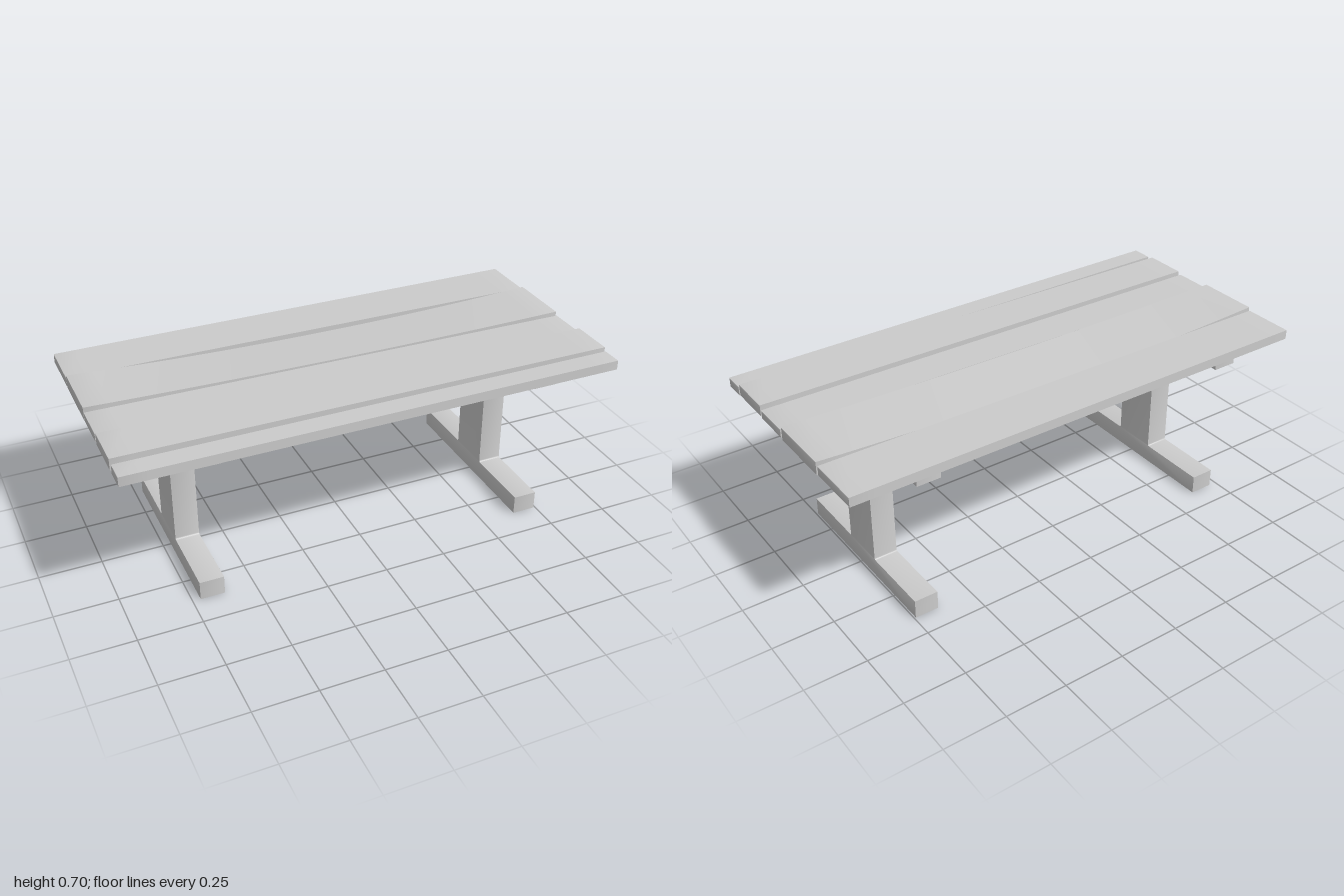
import * as THREE from 'three';
import { toCreasedNormals } from 'three/addons/utils/BufferGeometryUtils.js';

const material = new THREE.MeshStandardMaterial({ color: 0xcccccc });
const { lerp } = THREE.MathUtils;

// Extrudes a (z, y) outline along x, centred on x = 0
function extrudeAlongX(shape, length, bevel, steps = 1) {
  const geometry = new THREE.ExtrudeGeometry(shape, {
    depth: length - 2 * bevel, steps, curveSegments: 4,
    bevelEnabled: true, bevelSize: bevel, bevelThickness: bevel, bevelOffset: -bevel, bevelSegments: 2,
  });
  geometry.translate(0, 0, bevel - length / 2);
  geometry.rotateY(-Math.PI / 2);
  return geometry;
}

// A slightly skewed, bowed board; left and right are [zBack, zFront] at x = -1 and x = +1,
// bottom is [y at x = -1, y at x = +1], sag is the mid-span drop at [back edge, front edge]
function makePlank({ name, left, right, bottom, height, sag = [0, 0] }) {
  const width = left[1] - left[0];
  const shape = new THREE.Shape([
    new THREE.Vector2(0, 0), new THREE.Vector2(width, 0),
    new THREE.Vector2(width, height), new THREE.Vector2(0, height),
  ]);
  const geometry = extrudeAlongX(shape, 2, 0.004, 20);
  const p = geometry.attributes.position;
  for (let i = 0; i < p.count; i++) {
    const x = p.getX(i), t = (x + 1) / 2, u = p.getZ(i) / width;
    const drop = lerp(sag[0], sag[1], u) * (1 - x * x);
    p.setY(i, p.getY(i) + lerp(bottom[0], bottom[1], t) - drop);
    p.setZ(i, lerp(lerp(left[0], left[1], u), lerp(right[0], right[1], u), t));
  }
  const mesh = new THREE.Mesh(toCreasedNormals(geometry, 0.5), material);
  mesh.name = name;
  return mesh;
}

// Foot, post and crossbar in one outline, with small fillets at the inner corners
function makeTrestle(name, x) {
  const r = 0.008;
  const s = new THREE.Shape();
  s.moveTo(-0.405, 0);
  s.lineTo(0.375, 0);
  s.lineTo(0.375, 0.077);
  s.lineTo(0.08 + r, 0.077);
  s.quadraticCurveTo(0.08, 0.077, 0.08, 0.077 + r);
  s.lineTo(0.08, 0.627 - r);
  s.quadraticCurveTo(0.08, 0.627, 0.08 + r, 0.627);
  s.lineTo(0.437, 0.627);
  s.lineTo(0.437, 0.653);
  s.lineTo(-0.465, 0.653);
  s.lineTo(-0.465, 0.627);
  s.lineTo(-0.108 - r, 0.627);
  s.quadraticCurveTo(-0.108, 0.627, -0.108, 0.627 - r);
  s.lineTo(-0.108, 0.077 + r);
  s.quadraticCurveTo(-0.108, 0.077, -0.108 - r, 0.077);
  s.lineTo(-0.405, 0.077);
  s.closePath();
  const mesh = new THREE.Mesh(toCreasedNormals(extrudeAlongX(s, 0.098, 0.002), 0.5), material);
  mesh.position.x = x;
  mesh.name = name;
  return mesh;
}

export function createModel() {
  const table = new THREE.Group();
  table.name = 'plankTable';

  // Tabletop boards, back to front
  const planks = [
    { name: 'backPlank', left: [-0.472, -0.262], right: [-0.469, -0.247], bottom: [0.652, 0.652], height: 0.039 },
    { name: 'widePlank', left: [-0.257, 0.003], right: [-0.237, 0.028], bottom: [0.65, 0.647], height: 0.055, sag: [0.029, 0.012] },
    { name: 'middlePlank', left: [0.01, 0.167], right: [0.037, 0.193], bottom: [0.652, 0.652], height: 0.036 },
    { name: 'raisedPlank', left: [0.182, 0.36], right: [0.2, 0.38], bottom: [0.65, 0.657], height: 0.048 },
    { name: 'frontPlank', left: [0.387, 0.472], right: [0.388, 0.472], bottom: [0.652, 0.652], height: 0.039 },
  ];
  for (const plank of planks) table.add(makePlank(plank));

  // Two end supports
  table.add(makeTrestle('rightTrestle', -0.67), makeTrestle('leftTrestle', 0.695));
  return table;
}
